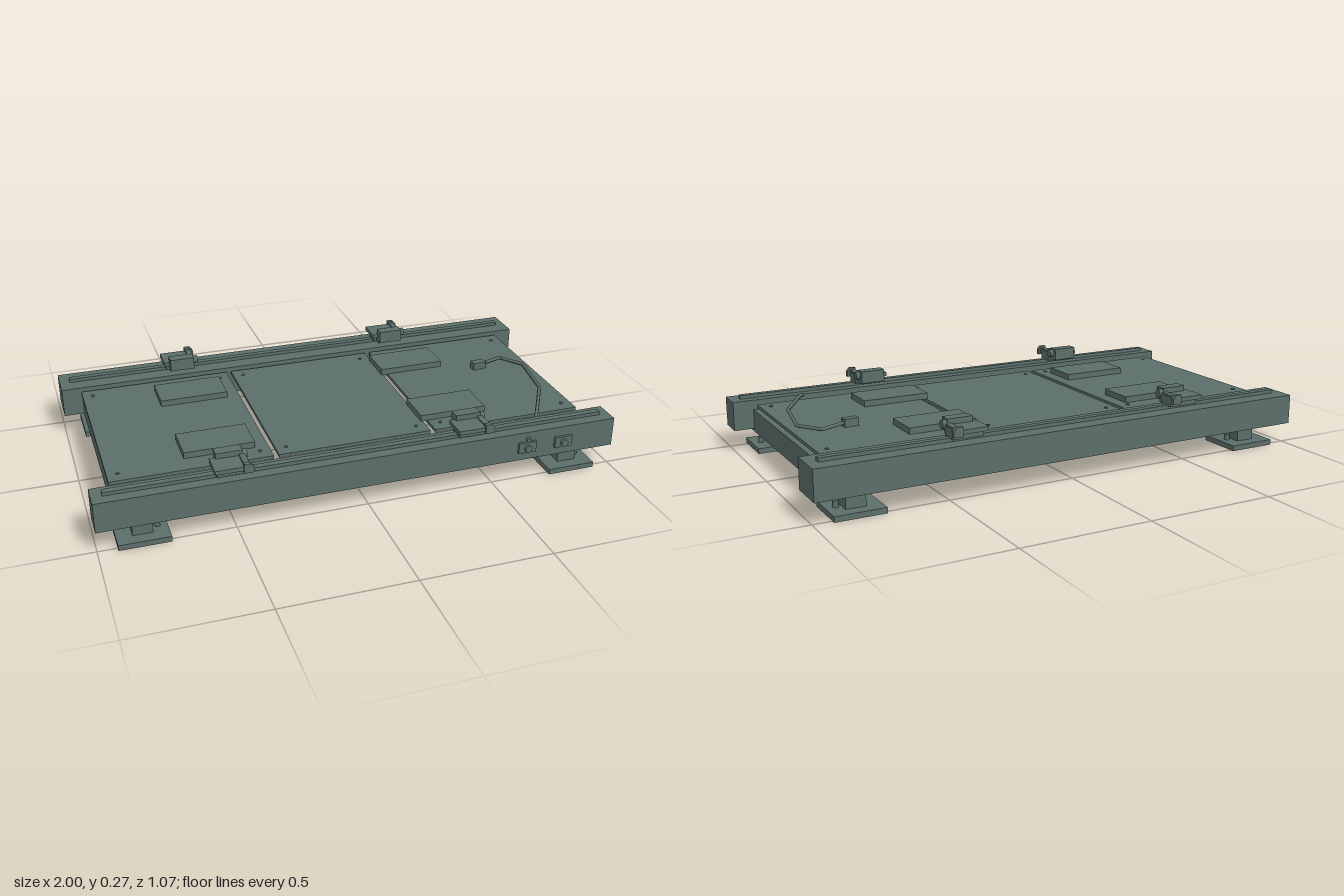
import * as THREE from 'three';

export function createModel() {
  const model = new THREE.Group();
  const mat = new THREE.MeshStandardMaterial({ color: 0x5b6e6a });

  const add = (name, geo, parent = model) => {
    const mesh = new THREE.Mesh(geo, mat);
    mesh.name = name;
    parent.add(mesh);
    return mesh;
  };
  // Box given by its extents on each axis
  const box = (name, [x0, x1], [y0, y1], [z0, z1], parent) => {
    const mesh = add(name, new THREE.BoxGeometry(x1 - x0, y1 - y0, z1 - z0), parent);
    mesh.position.set((x0 + x1) / 2, (y0 + y1) / 2, (z0 + z1) / 2);
    return mesh;
  };
  const cylinder = (name, r, h, x, y, z, axis = 'y', parent = model) => {
    const geo = new THREE.CylinderGeometry(r, r, h, 20);
    if (axis === 'x') geo.rotateZ(Math.PI / 2);
    if (axis === 'z') geo.rotateX(Math.PI / 2);
    const mesh = add(name, geo, parent);
    mesh.position.set(x, y, z);
    return mesh;
  };

  // Long side beams with their linear guides
  box('frontBeam', [-1, 1], [0.086, 0.202], [0.41, 0.515]);
  box('backBeam', [-1, 1], [0.086, 0.202], [-0.537, -0.387]);
  box('frontGuide', [-0.96, 0.96], [0.2, 0.216], [0.448, 0.472]);
  box('backGuide', [-0.96, 0.96], [0.2, 0.216], [-0.475, -0.451]);

  // Cross members between the beams, with flanges underneath
  for (const [x, w] of [[-0.83, 0.09], [0, 0.05], [0.83, 0.09]]) {
    box('crossMember', [x - w, x + w], [0.073, 0.163], [-0.388, 0.411]);
    box('frontFlange', [x - w, x + w], [0.073, 0.087], [0.38, 0.47]);
    box('backFlange', [x - w, x + w], [0.073, 0.087], [-0.47, -0.38]);
  }

  // Feet: base plate, post and levelling bolt
  for (const x of [-0.833, 0.833]) {
    for (const s of [-1, 1]) {
      const foot = new THREE.Group();
      foot.name = 'foot';
      foot.position.set(x, 0, 0.43 * s);
      model.add(foot);
      box('footPlate', [-0.095, 0.095], [0, 0.021], [-0.088, 0.088], foot);
      box('footPost', [-0.037, 0.037], [0.02, 0.08], [-0.041, 0.041], foot);
      cylinder('levelBolt', 0.011, 0.026, 0.058, 0.032, 0, 'y', foot);
    }
  }

  // Deck panels with corner screws
  for (const [x0, x1] of [[-0.925, -0.322], [-0.302, 0.295], [0.316, 0.915]]) {
    box('deckPanel', [x0, x1], [0.179, 0.192], [-0.37, 0.37]);
    for (const x of [x0 + 0.04, x1 - 0.04])
      for (const z of [-0.32, 0.32]) cylinder('panelScrew', 0.007, 0.005, x, 0.193, z);
  }

  // Raised pads on the deck
  for (const x of [-0.64, 0.288])
    for (const z of [-0.292, 0.14])
      box('pad', [x, x + 0.268], [0.19, 0.216], [z, z + 0.15]);

  // Carriages riding on the guides, mirrored front to back
  const bracketShape = new THREE.Shape();
  bracketShape.moveTo(-0.012, 0.228);
  bracketShape.lineTo(0.024, 0.228);
  bracketShape.lineTo(0.024, 0.25);
  bracketShape.lineTo(0.012, 0.264);
  bracketShape.lineTo(-0.012, 0.264);
  for (const cx of [-0.503, 0.42]) {
    for (const s of [-1, 1]) {
      const carriage = new THREE.Group();
      carriage.name = 'carriage';
      carriage.position.x = cx;
      model.add(carriage);
      const zr = (a, b) => (s > 0 ? [a, b] : [-b, -a]);
      box('slider', [-0.06, 0.06], [0.212, 0.236], zr(0.43, 0.492), carriage);
      box('carriagePlate', [-0.07, 0.06], [0.234, 0.25], zr(0.415, 0.512), carriage);
      box('clampBlock', [-0.048, 0.05], [0.222, 0.271], zr(0.385, 0.428), carriage);
      box('clampFoot', [-0.048, 0.05], [0.214, 0.235], zr(0.405, 0.44), carriage);
      box('sideArm', [0.036, 0.058], [0.236, 0.256], zr(0.42, 0.51), carriage);
      const end = add('endBracket',
        new THREE.ExtrudeGeometry(bracketShape, { depth: 0.018, bevelEnabled: false }), carriage);
      end.position.set(0.045, 0, s > 0 ? 0.502 : -0.52);
      cylinder('pivot', 0.016, 0.018, 0.059, 0.25, 0.415 * s, 'x', carriage);
    }
  }

  // Switch boxes on the front beam
  for (const x of [0.63, 0.782]) {
    box('switchBox', [x - 0.036, x + 0.036], [0.12, 0.163], [0.512, 0.526]);
    cylinder('switchButton', 0.014, 0.014, x, 0.14, 0.53, 'z');
  }
  cylinder('indicator', 0.009, 0.015, 0.634, 0.174, 0.52, 'z');

  // Cable across the deck, bent at straight runs, ending in a plug
  const points = [[0.72, 0.208, -0.085], [0.82, 0.204, -0.122], [0.885, 0.204, -0.03],
    [0.848, 0.206, 0.19], [0.74, 0.206, 0.375], [0.715, 0.2, 0.415]]
    .map(p => new THREE.Vector3(...p));
  const path = new THREE.CurvePath();
  for (let i = 1; i < points.length; i++)
    path.add(new THREE.LineCurve3(points[i - 1], points[i]));
  add('cable', new THREE.TubeGeometry(path, 60, 0.007, 8));
  const plug = box('plug', [0.672, 0.728], [0.192, 0.222], [-0.097, -0.065]);
  plug.rotation.y = 0.1;

  return model;
}
